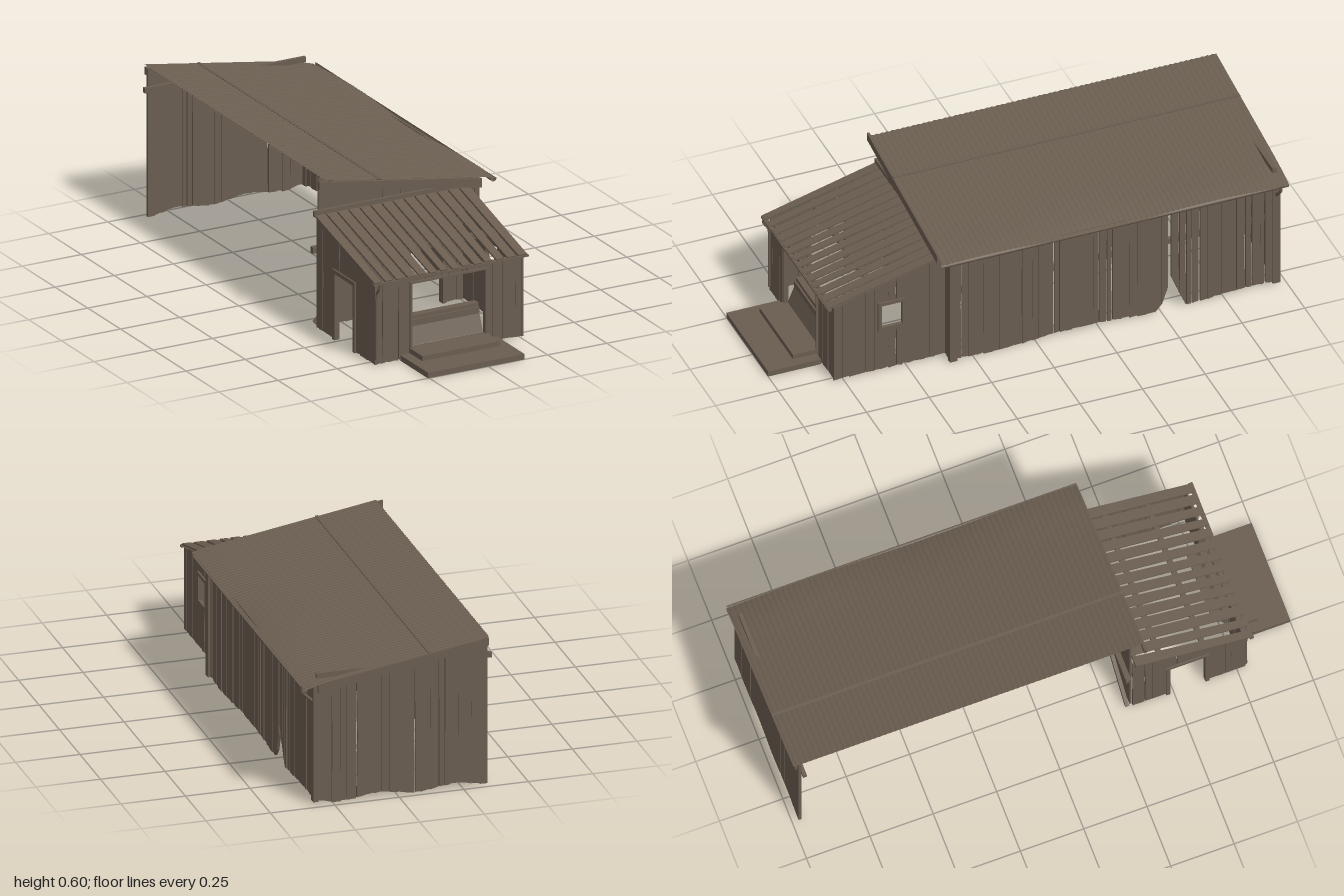
import * as THREE from 'three';
import { mergeGeometries } from 'three/addons/utils/BufferGeometryUtils.js';

let seed = 7;
const rnd = () => (seed = (seed * 16807) % 2147483647) / 2147483647;
const jit = (a) => (rnd() - 0.5) * 2 * a;

// main roof height across x, drooping past the low eave
const roofY = (x) => 0.597 - (x + 0.35) * 0.162 - Math.max(0, x - 0.3) * 0.12;

export function createModel() {
  const model = new THREE.Group();
  const wood = new THREE.MeshStandardMaterial({ color: 0x6a5d50, side: THREE.DoubleSide });
  wood.name = 'weatheredWood';

  const add = (name, geo) => {
    const m = new THREE.Mesh(geo, wood);
    m.name = name;
    model.add(m);
    return m;
  };
  const box = (name, x0, x1, y0, y1, z0, z1) => {
    const m = add(name, new THREE.BoxGeometry(x1 - x0, y1 - y0, z1 - z0));
    m.position.set((x0 + x1) / 2, (y0 + y1) / 2, (z0 + z1) / 2);
    return m;
  };
  // square timber between two points
  const beam = (name, a, b, w, d) => {
    const p = new THREE.Vector3(...a), q = new THREE.Vector3(...b);
    const m = add(name, new THREE.BoxGeometry(w, d, p.distanceTo(q)));
    m.position.copy(p).add(q).multiplyScalar(0.5);
    m.lookAt(q);
    return m;
  };
  const tube = (name, pts, r) => add(name, new THREE.TubeGeometry(
    new THREE.CatmullRomCurve3(pts.map((p) => new THREE.Vector3(...p)), false, 'catmullrom', 0.15), 24, r, 8));

  // wall of uneven vertical boards along u, split around openings [u0,u1,y0,y1]
  const plankWall = (name, u0, u1, bottom, top, openings = [], gaps = 0.25) => {
    const parts = [];
    const stops = [...openings.flatMap((o) => [o[0], o[1]]), u1].sort((a, b) => a - b);
    for (let u = u0; u < u1 - 1e-4;) {
      const stop = stops.find((s) => s > u + 1e-4);
      let v = u + 0.02 + rnd() * 0.018;
      if (v > stop - 0.012) v = stop;
      const mid = (u + v) / 2;
      const o = openings.find((k) => mid > k[0] && mid < k[1]);
      const spans = o ? [[null, o[2]], [o[3], null]] : [[null, null]];
      const slit = rnd() < gaps ? 0.003 + rnd() * 0.005 : 0.0006;
      const thick = 0.007 + rnd() * 0.004;
      for (const [lo, hi] of spans) {
        const b0 = lo ?? Math.max(0, bottom(u) + rnd() * 0.006), b1 = lo ?? Math.max(0, bottom(v) + rnd() * 0.006);
        const t0 = hi ?? top(u), t1 = hi ?? top(v);
        if (t0 - b0 < 0.004 && t1 - b1 < 0.004) continue;
        const s = new THREE.Shape();
        s.moveTo(u, b0);
        s.lineTo(v - slit * rnd(), b1);
        s.lineTo(v - slit, (b1 + t1) / 2);
        s.lineTo(v - slit * rnd(), t1);
        s.lineTo(u, t0);
        parts.push(new THREE.ExtrudeGeometry(s, { depth: thick, bevelEnabled: false }));
      }
      u = v;
    }
    return add(name, mergeGeometries(parts));
  };

  // four boards round an opening, in the wall's own plane
  const frame = (name, w, h, t, d) => {
    const s = new THREE.Shape([[-w, -h], [w, -h], [w, h], [-w, h]].map(([a, b]) => new THREE.Vector2(a / 2, b / 2)));
    const a = w / 2 - t, b = h / 2 - t;
    s.holes.push(new THREE.Path([[-a, -b], [-a, b], [a, b], [a, -b]].map((p) => new THREE.Vector2(...p))));
    return add(name, new THREE.ExtrudeGeometry(s, { depth: d, bevelEnabled: false }));
  };

  // main walls; the left side stays open
  plankWall('mainFrontWall', -0.35, 0.315, () => 0, (x) => roofY(x) - 0.008, [[0.035, 0.17, 0, 0.25]], 0.1).position.z = 0.33;
  plankWall('mainBackWall', -0.35, 0.315, (x) => 0.008 + 0.008 * Math.sin(x * 22), (x) => roofY(x) - 0.008, [], 0.15).position.z = -0.975;
  const torn = (u) => Math.max(0.006 + 0.008 * Math.sin(u * 9), 0.15 - Math.abs(u - 0.545) * 3);
  const side = plankWall('mainRightWall', -0.34, 0.97, torn, () => 0.472 + jit(0.006), [[0.528, 0.542, 0.1, 0.43]], 0.4);
  side.rotation.y = Math.PI / 2;
  side.position.x = 0.308;
  box('frontCornerBoard', 0.305, 0.325, 0, 0.475, 0.315, 0.345);
  box('backCornerBoard', 0.305, 0.325, 0.01, 0.475, -0.975, -0.945);

  // inner rails and braces
  box('frontWallRail', -0.37, 0.03, 0.29, 0.315, 0.31, 0.33);
  box('frontDoorLintel', 0.02, 0.19, 0.25, 0.265, 0.315, 0.345);
  for (const x of [0.027, 0.178]) box('frontDoorPost', x - 0.008, x + 0.008, 0, 0.25, 0.315, 0.345);
  beam('frontDiagonalBrace', [-0.355, 0.01, 0.318], [-0.04, 0.3, 0.318], 0.014, 0.022);
  box('backWallRail', -0.37, 0.31, 0.5, 0.52, -0.965, -0.95);
  box('rightWallRail', 0.29, 0.308, 0.29, 0.31, -0.96, 0.33);
  box('rightWallPlate', 0.288, 0.308, 0.455, 0.48, -0.97, 0.36);

  // ribbed main roof
  const roof = new THREE.PlaneGeometry(1, 1, 14, 420);
  const p = roof.attributes.position;
  for (let i = 0; i < p.count; i++) {
    const x = -0.35 + (p.getX(i) + 0.5) * 0.715;
    const z = 0.39 - (0.5 - p.getY(i)) * 1.385;
    const sag = Math.max(0, x - 0.2) * 0.05 * Math.sin(z * 7);
    p.setXYZ(i, x, roofY(x) + sag + 0.0015 * Math.sin(z * 300), z);
  }
  // rows run front to back, so turn the faces upward
  const idx = roof.index.array;
  for (let i = 0; i < idx.length; i += 3) [idx[i], idx[i + 1]] = [idx[i + 1], idx[i]];
  roof.computeVertexNormals();
  add('mainRoofSheet', roof);
  const under = (x, d) => roofY(x) - d;
  beam('roofRidgeLap', [-0.12, under(-0.12, -0.001), 0.39], [-0.12, under(-0.12, -0.001), -0.995], 0.012, 0.004);
  for (const z of [0.385, -0.985]) {
    const s = new THREE.Shape();
    const x0 = z > 0 ? -0.375 : -0.35;
    s.moveTo(x0, roofY(x0) - 0.038);
    s.lineTo(0.31, roofY(0.31) - 0.04);
    s.lineTo(0.31, roofY(0.31) - 0.004);
    s.lineTo(x0, roofY(x0) - 0.007);
    const f = add(z > 0 ? 'frontFascia' : 'backFascia', new THREE.ExtrudeGeometry(s, { depth: 0.01, bevelEnabled: false }));
    f.position.z = z - 0.005;
  }
  for (const x of [-0.3, -0.1, 0.12]) beam('roofPurlin', [x, under(x, 0.014), 0.38], [x, under(x, 0.014), -0.98], 0.018, 0.02);

  // half round gutter and downpipe on the low eave
  const gutter = add('mainGutter', new THREE.CylinderGeometry(0.012, 0.012, 1.38, 10, 1, true, -Math.PI / 2, Math.PI));
  gutter.rotation.x = Math.PI / 2;
  gutter.position.set(0.36, 0.475, -0.3);
  tube('mainDownpipe', [[0.367, 0.472, -0.96], [0.364, 0.45, -0.96], [0.345, 0.43, -0.96], [0.32, 0.408, -0.96], [0.317, 0.38, -0.96], [0.317, 0.02, -0.96]], 0.006);

  // porch walls
  const slopeY = (z) => 0.33 + (0.81 - z) * 0.262;
  plankWall('porchFrontWall', -0.36, 0.265, () => 0, () => 0.322, [[-0.21, 0.11, 0.04, 0.3]], 0.15).position.z = 0.775;
  const porchSide = (name, x, hole) => {
    const w = plankWall(name, -0.785, -0.34, () => 0, (u) => slopeY(-u) - 0.01, [hole], 0.1);
    w.rotation.y = Math.PI / 2;
    w.position.x = x;
  };
  porchSide('porchRightWall', 0.258, [-0.6, -0.51, 0.19, 0.29]);
  porchSide('porchLeftWall', -0.36, [-0.63, -0.48, 0, 0.27]);
  const win = frame('porchWindowFrame', 0.11, 0.125, 0.014, 0.014);
  win.rotation.y = Math.PI / 2;
  win.position.set(0.26, 0.24, 0.555);
  for (const z of [0.478, 0.632]) box('sideDoorPost', -0.366, -0.345, 0, 0.27, z - 0.008, z + 0.008);
  box('sideDoorLintel', -0.366, -0.345, 0.262, 0.278, 0.47, 0.64);
  frame('porchOpeningFrame', 0.325, 0.268, 0.008, 0.02).position.set(-0.051, 0.168, 0.772);
  box('porchInnerBeam', -0.35, 0.26, 0.26, 0.283, 0.345, 0.36);

  // porch roof of loose boards
  const n = 14, pitch = 0.655 / n;
  for (let i = 0; i < n; i++) {
    const len = 0.478 - rnd() * 0.012;
    const g = new THREE.BoxGeometry(pitch - 0.007, 0.007, len);
    const a = g.attributes.position, cut = rnd() * 0.012;
    for (let k = 0; k < a.count; k++) if (a.getZ(k) > 0 && a.getX(k) > 0) a.setX(k, a.getX(k) - cut);
    const b = add('porchRoofBoard', g);
    b.rotation.x = 0.256;
    b.position.set(-0.378 + pitch * (i + 0.5), 0.39, 0.58);
  }
  box('porchRoofTopBoard', -0.378, 0.278, 0.445, 0.468, 0.345, 0.358);
  box('porchEaveBoard', -0.378, 0.275, 0.322, 0.329, 0.795, 0.812);
  for (const z of [0.45, 0.62]) box('porchRafter', -0.36, 0.26, slopeY(z) - 0.026, slopeY(z) - 0.006, z - 0.01, z + 0.01);
  tube('porchDownpipe', [[-0.355, 0.325, 0.812], [-0.355, 0.31, 0.81], [-0.355, 0.285, 0.792], [-0.355, 0.26, 0.788], [-0.355, 0.02, 0.788]], 0.005);

  // counter behind the opening
  beam('counterPanel', [-0.05, 0.045, 0.775], [-0.05, 0.112, 0.748], 0.3, 0.006);
  box('counterLedge', -0.2, 0.1, 0.11, 0.135, 0.735, 0.752);
  box('counterTop', -0.2, 0.1, 0.135, 0.15, 0.715, 0.745);

  // front steps
  box('lowerStep', -0.255, 0.152, 0, 0.022, 0.79, 1);
  box('upperStep', -0.215, 0.113, 0.022, 0.042, 0.77, 0.885);
  return model;
}
